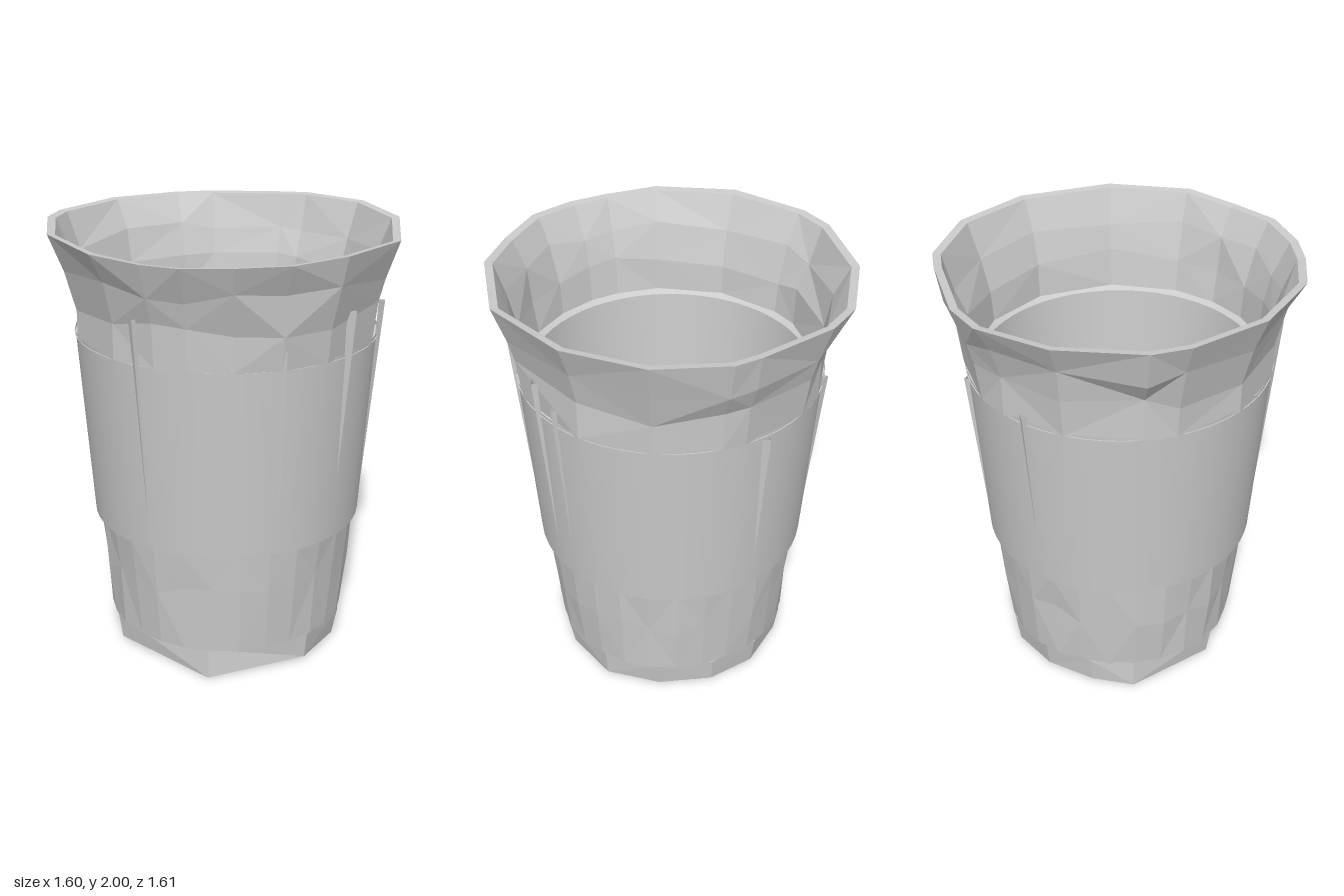
import * as THREE from 'three';

const smooth = new THREE.MeshStandardMaterial({ color: 0xcccccc, side: THREE.DoubleSide });
const faceted = new THREE.MeshStandardMaterial({ color: 0xcccccc, side: THREE.DoubleSide, flatShading: true });

// Small repeatable noise in -1..1
function noise(seed) {
  const s = Math.sin(seed * 127.1 + 3.7) * 43758.5453;
  return (s - Math.floor(s)) * 2 - 1;
}

// Skin over rings of [x, y, z] points, listed from bottom to top
function loft(rings) {
  const n = rings[0].length;
  const index = [];
  for (let j = 0; j < rings.length - 1; j++) {
    for (let i = 0; i < n; i++) {
      const a = j * n + i, b = j * n + (i + 1) % n, c = b + n, d = a + n;
      if ((i + j) % 2) index.push(a, b, c, a, c, d);
      else index.push(a, b, d, b, c, d);
    }
  }
  const geo = new THREE.BufferGeometry();
  geo.setAttribute('position', new THREE.Float32BufferAttribute(rings.flat(2), 3));
  geo.setIndex(index);
  geo.computeVertexNormals();
  return geo;
}

// Round ring with slightly crumpled radius and height
function ring(r, y, n, crumpleR = 0, crumpleY = 0, seed = 1) {
  return Array.from({ length: n }, (_, i) => {
    const a = (i / n) * Math.PI * 2;
    const rr = r + crumpleR * noise(seed + i);
    return [Math.sin(a) * rr, y + crumpleY * noise(seed + i + 50), Math.cos(a) * rr];
  });
}

function lathe(points, segments = 56) {
  return new THREE.LatheGeometry(points.map(([r, y]) => new THREE.Vector2(r, y)), segments);
}

export function createModel() {
  const group = new THREE.Group();
  const add = (name, geo, mat) => {
    const mesh = new THREE.Mesh(geo, mat);
    mesh.name = name;
    group.add(mesh);
    return mesh;
  };

  // Lower body: gently creased, tapering to the foot
  add('lowerBody', loft([
    ring(0.56, 0.13, 28, 0.006),
    ring(0.585, 0.42, 28, 0.008, 0.05, 9),
    ring(0.606, 0.64, 28),
  ]), faceted);

  // Foot: round at the back, cut into a few corners at the front
  const footCorners = [[0.24, 0.53], [0.53, 0.15], [0.53, -0.12], [0.42, -0.36], [0.2, -0.51],
    [-0.05, -0.55], [-0.28, -0.47], [-0.46, -0.3], [-0.55, -0.08], [-0.56, 0.12], [-0.3, 0.46]];
  const footBottom = footCorners.map(([x, z], i) => [x, i % 3 ? 0.015 : 0, z]);
  const footTop = footCorners.map(([x, z]) => {
    const s = 0.568 / Math.hypot(x, z);
    return [x * s, 0.14, z * s];
  });
  add('foot', loft([footBottom, footTop]), faceted);

  // Underside, slightly drawn up at the centre
  add('underside', loft([footBottom.map(() => [0, 0.05, 0]), footBottom]), faceted);

  // Smooth middle sleeve with the ledge below it
  add('sleeve', lathe([[0.628, 0.64], [0.69, 1.53]]), smooth);
  add('sleeveLedge', lathe([[0.6, 0.63], [0.628, 0.64]]), smooth);

  // Crumpled collar flaring to an irregular rim
  const rim = [[-0.15, 0.8], [0.1, 0.8], [0.27, 0.77], [0.47, 0.67], [0.63, 0.49], [0.76, 0.27],
    [0.8, -0.12], [0.6, -0.52], [0.3, -0.75], [-0.03, -0.81], [-0.15, -0.78], [-0.5, -0.64],
    [-0.64, -0.52], [-0.79, -0.2], [-0.8, 0.19], [-0.74, 0.35], [-0.5, 0.64]];
  const rimRing = (r, y, crumpleR, crumpleY, seed) => rim.map(([x, z], i) => {
    const s = (r + crumpleR * noise(seed + i)) / Math.hypot(x, z);
    return [x * s, y + crumpleY * noise(seed + i + 30), z * s];
  });
  const lip = rim.map(([x, z], i) => [x, 1.99 + 0.01 * noise(i + 4), z]);
  const lipInside = rim.map(([x, z], i) => [x * 0.955, 1.985 + 0.01 * noise(i + 4), z * 0.955]);
  add('collar', loft([
    rimRing(0.697, 1.515, 0, 0, 1),
    rimRing(0.71, 1.68, 0.015, 0.045, 21),
    rimRing(0.755, 1.84, 0.02, 0.035, 43),
    lip,
  ]), faceted);
  add('collarLedge', lathe([[0.67, 1.515], [0.694, 1.515]]), smooth);
  add('rim', loft([lip, lipInside]), faceted);

  // Inside of the collar, down to the inner step
  add('collarInside', loft([
    lipInside,
    rimRing(0.715, 1.84, 0.015, 0.03, 43),
    rimRing(0.675, 1.68, 0.012, 0.03, 21),
    rimRing(0.66, 1.52, 0, 0, 1),
  ]), faceted);

  // Inner wall with the stepped ledges
  add('innerWall', lathe([[0.665, 1.52], [0.635, 1.5]]), smooth);
  add('innerSleeve', lathe([[0.635, 1.5], [0.59, 0.64]]), smooth);
  add('innerLowerWall', loft([
    ring(0.592, 0.64, 14),
    ring(0.555, 0.4, 14, 0.012, 0.04, 5),
    ring(0.52, 0.13, 14),
  ]), faceted);

  // Inside floor with shallow folds
  add('floor', loft([
    ring(0.52, 0.13, 14),
    ring(0.26, 0.11, 14, 0.03, 0.01, 12),
    ring(0, 0.1, 14),
  ]), faceted);

  // Narrow pleats running down the sleeve: [angle, bottom, top]
  const pleats = [[0, 0.77, 1.72], [0.93, 0.82, 1.6], [1.43, 0.95, 1.72],
    [1.93, 0.76, 1.68], [2.1, 0.85, 1.6], [3.5, 0.8, 1.5], [4.2, 0.9, 1.55]];
  const radiusAt = (y) => 0.628 + (y - 0.64) * 0.07;
  pleats.forEach(([angle, bottom, top]) => {
    const at = (y, da, out) => {
      const r = radiusAt(y) + out;
      return [Math.sin(angle + da) * r, y, Math.cos(angle + da) * r];
    };
    const tip = at(bottom, 0, 0.001);
    add('pleat', loft([
      [tip, tip, tip],
      [at(top, -0.05, -0.005), at(top, 0, 0.02), at(top, 0.012, -0.005)],
    ]), faceted);
  });

  return group;
}
